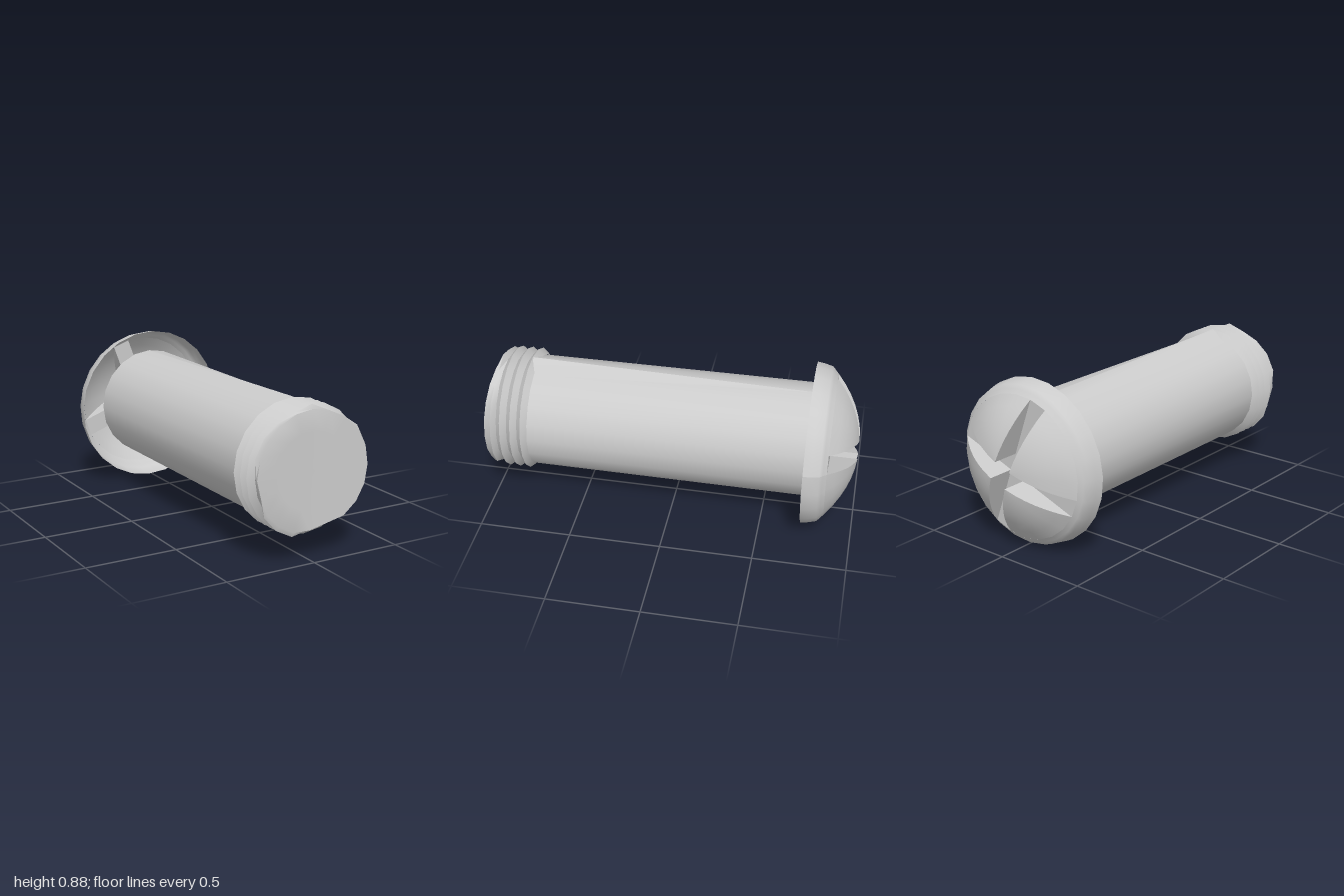
import * as THREE from 'three';
import { toCreasedNormals } from 'three/addons/utils/BufferGeometryUtils.js';

const HALF = 0.05;          // half width of the drive slots
const FLOOR = -0.85;        // depth of the slot floor
const SLOT_R = 0.381;       // radius where the floor meets the dome
const ARCS = 5;             // dome facets between two slots
const domeZ = r => -1 + 0.92 * r * r + 0.8 * r ** 4;

// Surface made from a grid of points fn(u, v), u and v from 0 to 1
function grid(nu, nv, fn) {
  const pos = [], index = [];
  for (let i = 0; i <= nu; i++)
    for (let j = 0; j <= nv; j++) pos.push(...fn(i / nu, j / nv));
  for (let i = 0; i < nu; i++)
    for (let j = 0; j < nv; j++) {
      const a = i * (nv + 1) + j, b = a + nv + 1;
      index.push(a, a + 1, b, b, a + 1, b + 1);
    }
  const g = new THREE.BufferGeometry();
  g.setAttribute('position', new THREE.Float32BufferAttribute(pos, 3));
  g.setIndex(index);
  g.computeVertexNormals();
  return g;
}

// Lathe around the z axis from [radius, z] points, each vertex passed through move()
function lathe(points, sides, move) {
  const g = new THREE.LatheGeometry(points.map(p => new THREE.Vector2(...p)), sides).rotateX(Math.PI / 2);
  const pos = g.attributes.position, v = new THREE.Vector3();
  for (let i = 0; i < pos.count; i++) {
    move(v.fromBufferAttribute(pos, i));
    pos.setXYZ(i, v.x, v.y, v.z);
  }
  return toCreasedNormals(g, 0.6);
}

export function createModel() {
  const model = new THREE.Group();
  model.name = 'screw';
  const solid = new THREE.MeshStandardMaterial({ color: 0xcccccc });
  const thin = new THREE.MeshStandardMaterial({ color: 0xcccccc, side: THREE.DoubleSide });
  const add = (parent, name, geometry, material) => {
    const mesh = new THREE.Mesh(geometry, material);
    mesh.name = name;
    parent.add(mesh);
    return mesh;
  };

  // Shank, with a slight ramp along the top up to the thread
  const shank = lathe([[0.307, -0.73], [0.303, 0.79]], 20, v => {
    if (v.z > 0 && v.y > 0.302) v.y += 0.037;
  });
  add(model, 'shank', shank, thin).position.set(-0.004, 0.457, 0);

  // Threaded tip: V-shaped ridges and an end face that slopes up to one side
  const ridges = [[0.303, 0.765]];
  for (let i = 0; i < 3; i++) ridges.push([0.335, 0.795 + i * 0.057], [0.303, 0.823 + i * 0.057]);
  ridges.push([0.335, 0.96], [0.312, 0.97], [0.2, 0.97], [0.1, 0.97], [0, 0.97]);
  // Flats cut into the end rim: [direction in degrees, distance from axis]
  const flats = [[-75, 0.288], [194, 0.303], [112.6, 0.318], [66.4, 0.307]];
  const tip = lathe(ridges, 20, v => {
    if (v.z < 0.95) return;
    if (v.z > 0.965) v.z += 0.03 * THREE.MathUtils.clamp(v.x / 0.3, 0, 1);
    for (const [angle, d] of flats) {
      const a = THREE.MathUtils.degToRad(angle);
      const over = Math.max(0, v.x * Math.cos(a) + v.y * Math.sin(a) - d);
      v.x -= over * Math.cos(a);
      v.y -= over * Math.sin(a);
    }
  });
  add(model, 'threadedTip', tip, solid).position.set(-0.006, 0.461, 0);

  // Head: hollow dome with a cross slot, turned a little about its axis
  const head = new THREE.Group();
  head.name = 'head';
  head.position.y = 0.439;
  head.rotation.z = THREE.MathUtils.degToRad(20);
  model.add(head);

  // Rim below the slots, its corners lined up with the dome facets
  const rim = [[SLOT_R, FLOOR], [0.402, domeZ(0.402)], [0.42, -0.815], [0.432, -0.77], [0.438, -0.73]];
  const endEdge = Math.asin(HALF / SLOT_R);
  const sides = 4 * (ARCS + 1);
  add(head, 'headRim', grid(rim.length - 1, sides, (u, v) => {
    const [r, z] = rim[Math.round(u * (rim.length - 1))];
    const n = Math.round((1 - v) * sides), j = n % (ARCS + 1);
    const a = Math.floor(n / (ARCS + 1)) * Math.PI / 2
      + (j === 0 ? -endEdge : endEdge + (Math.PI / 2 - 2 * endEdge) * (j - 1) / ARCS);
    return [r * Math.cos(a), r * Math.sin(a), z];
  }), thin);

  // Four dome quarters and the slot walls along their edges
  const r0 = HALF * Math.SQRT2;
  for (let k = 0; k < 4; k++) {
    const quarter = new THREE.Group();
    quarter.name = 'headQuarter';
    quarter.rotation.z = k * Math.PI / 2;
    head.add(quarter);
    add(quarter, 'dome', grid(6, ARCS, (u, v) => {
      const r = r0 + (SLOT_R - r0) * u;
      const edge = Math.asin(HALF / r);
      const a = edge + (Math.PI / 2 - 2 * edge) * (1 - v);
      return [r * Math.cos(a), r * Math.sin(a), domeZ(r)];
    }), thin);
    for (const swap of [false, true])
      add(quarter, 'slotWall', grid(6, 1, (u, v) => {
        const r = r0 + (SLOT_R - r0) * u;
        const along = Math.sqrt(r * r - HALF * HALF);
        const z = v ? FLOOR : domeZ(r);
        return swap ? [HALF, along, z] : [along, HALF, z];
      }), thin);
  }

  // Slot floors: one full bar and two short arms
  const bar = (x, y, w, h) => {
    const g = new THREE.PlaneGeometry(w, h).rotateX(Math.PI);
    add(head, 'slotFloor', g, thin).position.set(x, y, FLOOR);
  };
  const reach = SLOT_R * Math.cos(endEdge);
  bar(0, 0, 2 * reach, 2 * HALF);
  for (const s of [-1, 1]) bar(0, s * (HALF + reach) / 2, 2 * HALF, reach - HALF);

  return model;
}
